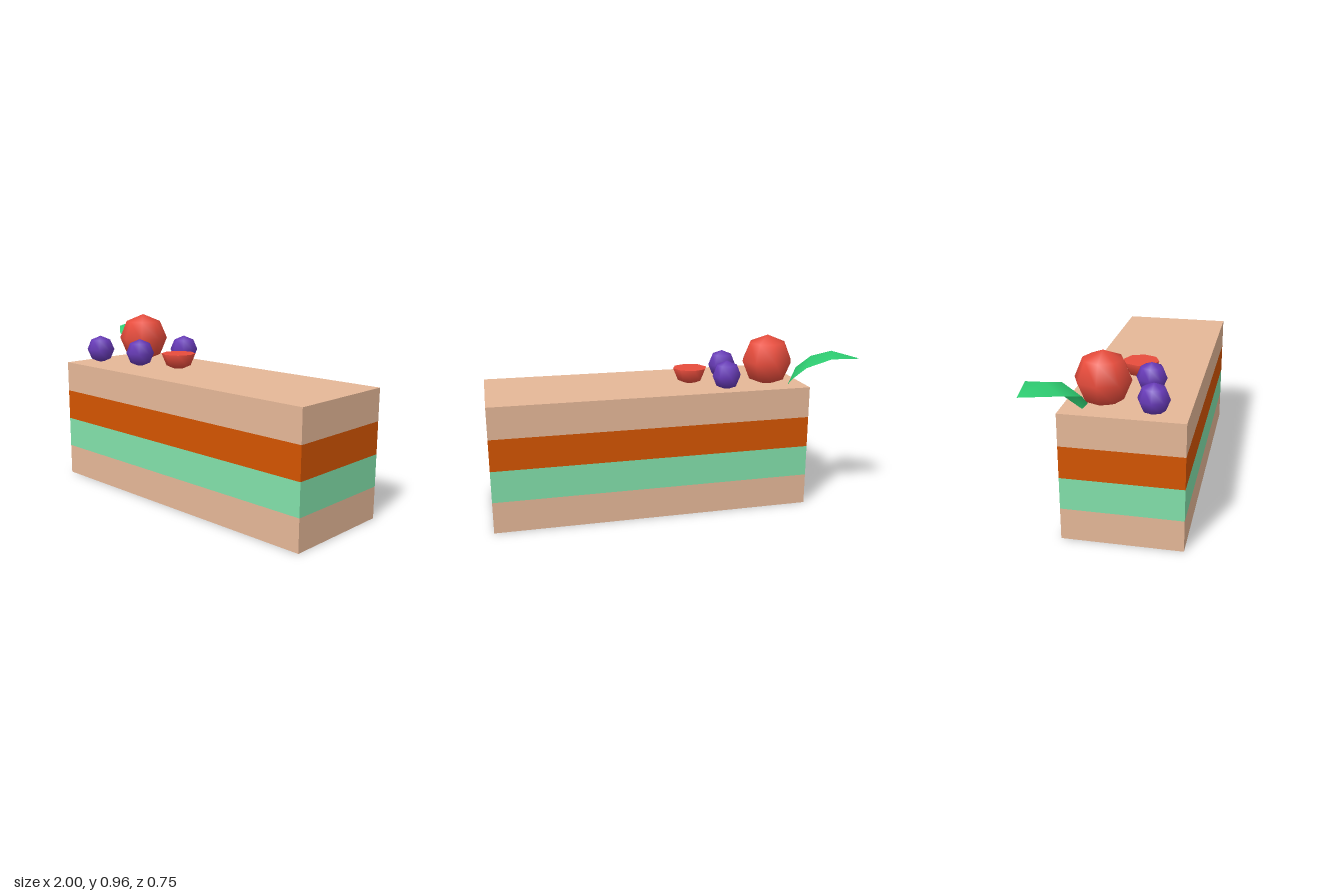
import * as THREE from 'three';
import { mergeVertices } from 'three/addons/utils/BufferGeometryUtils.js';

function material(name, color, side = THREE.FrontSide) {
  const m = new THREE.MeshStandardMaterial({ color, side });
  m.name = name;
  return m;
}

export function createModel() {
  const root = new THREE.Group();
  root.name = 'layeredCakeSlice';

  const sponge = material('sponge tan', 0xe5b797);
  const mint = material('mint cream', 0x82e0aa);
  const orange = material('orange filling', 0xd35400);
  const red = material('red fruit', 0xe74c3c);
  const purple = material('purple berry', 0x673ab7);
  const green = material('leaf green', 0x2ecc71, THREE.DoubleSide);

  function add(name, geometry, mat, x, y, z) {
    const mesh = new THREE.Mesh(geometry, mat);
    mesh.name = name;
    mesh.position.set(x, y, z);
    root.add(mesh);
    return mesh;
  }

  // Four equal cake layers
  const layer = 0.172;
  const layers = [
    ['bottomSponge', sponge], ['mintLayer', mint],
    ['orangeLayer', orange], ['topSponge', sponge],
  ];
  layers.forEach(([name, mat], i) =>
    add(name, new THREE.BoxGeometry(1.757, layer, 0.63), mat, 0.1215, layer * (i + 0.5), 0.059));

  // Round fruit, slightly sunk into the top
  add('largeRedFruit', new THREE.SphereGeometry(0.145, 8, 4), red, -0.57, 0.815, -0.067);
  const berry = new THREE.SphereGeometry(0.081, 8, 4);
  [[-0.656, 0.2], [-0.367, 0.136], [-0.302, -0.157]].forEach(([x, z], i) =>
    add('purpleBerry' + (i + 1), berry, purple, x, 0.761, z));

  // Halved fruit with its cut face up
  add('halfFruitSkin', new THREE.SphereGeometry(0.098, 8, 2, 0, Math.PI * 2, Math.PI / 2, Math.PI / 2),
    red, -0.145, 0.771, 0.037);
  add('halfFruitCutFace', new THREE.CircleGeometry(0.098, 8).rotateX(-Math.PI / 2),
    red, -0.145, 0.771, 0.037);

  // Arched leaf: rows from tip to base, each edge, midrib, edge
  const tip = [-1, 0.857, -0.35];
  const base = [-0.67, 0.685, -0.15];
  const rows = [
    [tip, tip, tip],
    [[-0.82, 0.867, -0.375], [-0.87, 0.89, -0.26], [-0.93, 0.85, -0.17]],
    [[-0.70, 0.815, -0.325], [-0.77, 0.857, -0.215], [-0.84, 0.82, -0.10]],
    [[-0.66, 0.745, -0.25], [-0.70, 0.79, -0.18], [-0.76, 0.755, -0.095]],
    [base, base, base],
  ];
  const index = [];
  for (let i = 0; i < rows.length - 1; i++) {
    for (let j = 0; j < 2; j++) {
      const a = i * 3 + j, b = a + 3;
      if (i > 0) index.push(a, a + 1, b);
      if (i < rows.length - 2) index.push(a + 1, b + 1, b);
    }
  }
  let leaf = new THREE.BufferGeometry();
  leaf.setAttribute('position', new THREE.Float32BufferAttribute(rows.flat(2), 3));
  leaf.setIndex(index);
  leaf = mergeVertices(leaf);
  leaf.computeVertexNormals();
  add('leaf', leaf, green, 0, 0, 0);

  return root;
}
